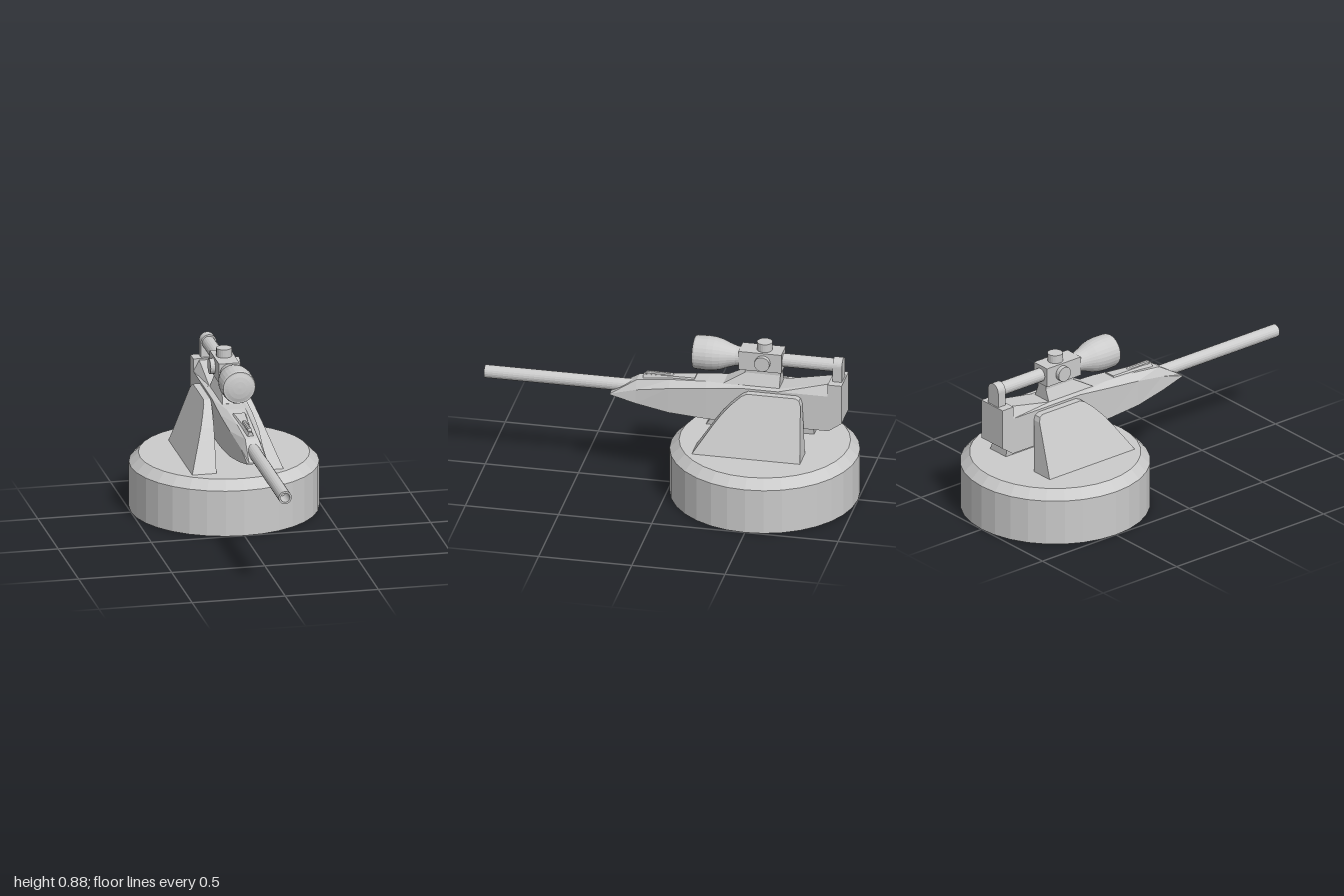
import * as THREE from 'three';

const material = new THREE.MeshStandardMaterial({ color: 0xcccccc, flatShading: true });

function add(parent, name, geometry, x = 0, y = 0, z = 0) {
  const mesh = new THREE.Mesh(geometry, material);
  mesh.name = name;
  mesh.position.set(x, y, z);
  parent.add(mesh);
  return mesh;
}

// Turned part: points are [radius, height], listed from bottom to top
function turned(points, sides) {
  return new THREE.LatheGeometry(points.map(p => new THREE.Vector2(...p)), sides);
}

// Turned part lying along z: points are [radius, z], listed from back to front
const turnedAlongZ = (points, sides) => turned(points, sides).rotateX(Math.PI / 2);

// Symmetric loft, sections front to back: [z, [halfWidth, y], ...] from bottom to top
function loft(sections) {
  const rings = sections.map(([z, ...levels]) => [
    ...levels.map(([w, y]) => [w, y, z]),
    ...levels.map(([w, y]) => [-w, y, z]).reverse(),
  ]);
  const positions = [];
  const tri = (a, b, c) => positions.push(...a, ...b, ...c);
  const n = rings[0].length;
  for (let s = 0; s < rings.length - 1; s++) {
    const a = rings[s], b = rings[s + 1];
    for (let i = 0; i < n; i++) {
      const j = (i + 1) % n;
      tri(a[i], b[i], b[j]);
      tri(a[i], b[j], a[j]);
    }
  }
  const front = rings[0], back = rings[rings.length - 1];
  for (let i = 1; i < n - 1; i++) {
    tri(front[0], front[i], front[i + 1]);
    tri(back[0], back[i + 1], back[i]);
  }
  const geometry = new THREE.BufferGeometry();
  geometry.setAttribute('position', new THREE.Float32BufferAttribute(positions, 3));
  geometry.computeVertexNormals();
  return geometry;
}

// Side bracket: extruded side outline whose faces lean inward with height
function bracket(side) {
  const outline = [
    [-0.16, 0.30], [-0.26, 0.45], [-0.30, 0.505], [-0.35, 0.56], [-0.40, 0.605], [-0.43, 0.62],
    [-0.69, 0.62], [-0.71, 0.61], [-0.72, 0.585], [-0.74, 0.30],
  ];
  const shape = new THREE.Shape(outline.map(([z, y]) => new THREE.Vector2(-z, y)));
  const geometry = new THREE.ExtrudeGeometry(shape, { depth: 1, bevelEnabled: false });
  const p = geometry.attributes.position;
  for (let i = 0; i < p.count; i++) {
    const y = p.getY(i), k = (y - 0.3) / 0.32;
    const inner = THREE.MathUtils.lerp(0.115, 0.088, k);
    const outer = THREE.MathUtils.lerp(0.245, 0.125, k);
    const t = side > 0 ? p.getZ(i) : 1 - p.getZ(i);
    p.setXYZ(i, side * THREE.MathUtils.lerp(inner, outer, t), y, -p.getX(i));
  }
  geometry.computeVertexNormals();
  return geometry;
}

export function createModel() {
  const model = new THREE.Group();
  model.name = 'mountedGun';

  // Round base with a chamfered rim
  add(model, 'base', turned([[0, 0], [0.5, 0], [0.5, 0.25], [0.45, 0.3], [0, 0.3]], 32), 0, 0, -0.5);

  // Brackets carrying the gun
  add(model, 'leftBracket', bracket(1));
  add(model, 'rightBracket', bracket(-1));

  const gun = new THREE.Group();
  gun.name = 'gun';
  model.add(gun);

  // Body, tapering to a sloped nose
  add(gun, 'body', loft([
    [0.32, [0.055, 0.505], [0.055, 0.51], [0.045, 0.513]],
    [0.18, [0.064, 0.472], [0.06, 0.55], [0.035, 0.598]],
    [0.0, [0.08, 0.445], [0.078, 0.585], [0.04, 0.62]],
    [-0.2, [0.087, 0.434], [0.087, 0.61], [0.05, 0.635]],
    [-0.4, [0.087, 0.43], [0.087, 0.632], [0.06, 0.637]],
    [-0.86, [0.087, 0.43], [0.087, 0.632], [0.06, 0.637]],
  ]));
  // Cheek ramp rising to the rear block
  add(gun, 'cheekRamp', loft([
    [-0.59, [0.087, 0.632], [0.06, 0.638]],
    [-0.86, [0.087, 0.632], [0.055, 0.692]],
  ]));
  add(gun, 'rearBlock', loft([
    [-0.855, [0.087, 0.43], [0.087, 0.7]],
    [-0.86, [0.087, 0.43], [0.087, 0.7]],
    [-0.93, [0.087, 0.48], [0.087, 0.7]],
  ]));

  // Hollow barrel
  add(gun, 'barrel', turnedAlongZ(
    [[0, 0.15], [0.035, 0.15], [0.035, 1], [0.025, 1], [0.025, 0.9], [0, 0.9]], 20), 0, 0.545, 0);

  // Front sight: wedge with a round bar on top
  add(gun, 'sightWedge', loft([
    [0.15, [0.018, 0.598], [0.008, 0.622]],
    [-0.13, [0.042, 0.62], [0.03, 0.637]],
  ]));
  add(gun, 'sightBar', turnedAlongZ([[0, -0.02], [0.013, 0], [0.013, 0.13], [0, 0.145]], 10), 0, 0.627, 0);

  const scope = new THREE.Group();
  scope.name = 'scope';
  scope.position.y = 0.778;
  gun.add(scope);

  // Foot that joins the scope to the body
  add(gun, 'scopeFoot', loft([
    [-0.29, [0.06, 0.63], [0.055, 0.637]],
    [-0.4, [0.06, 0.63], [0.032, 0.7]],
    [-0.59, [0.06, 0.63], [0.032, 0.7]],
  ]));
  add(gun, 'scopeFootTop', new THREE.BoxGeometry(0.064, 0.04, 0.19), 0, 0.715, -0.495);

  // Scope housing with three adjustment knobs
  add(scope, 'housing', new THREE.BoxGeometry(0.11, 0.106, 0.23), 0, 0, -0.485);
  const knob = new THREE.CylinderGeometry(0.041, 0.041, 0.05, 20);
  add(scope, 'topKnob', knob, 0, 0.073, -0.5);
  for (const side of [1, -1]) {
    add(scope, side > 0 ? 'leftKnob' : 'rightKnob', knob, side * 0.055, 0, -0.5).rotation.z = Math.PI / 2;
  }

  // Objective bell, its rim and a slightly domed lens
  add(scope, 'bell', turnedAlongZ([
    [0, -0.38], [0.05, -0.38], [0.052, -0.35], [0.065, -0.31], [0.081, -0.27], [0.089, -0.235],
    [0.092, -0.2], [0.09, -0.135], [0.086, -0.125], [0.079, -0.125],
    [0.06, -0.119], [0.035, -0.115], [0, -0.113],
  ], 28));

  // Rear tube and arched eyepiece
  add(scope, 'rearTube', turnedAlongZ([[0, -0.9], [0.036, -0.9], [0.036, -0.59], [0, -0.59]], 20));
  const arch = new THREE.Shape();
  arch.moveTo(-0.042, -0.08);
  arch.lineTo(0.042, -0.08);
  arch.lineTo(0.042, 0.003);
  arch.absarc(0, 0.003, 0.042, 0, Math.PI, false);
  arch.closePath();
  add(scope, 'eyepiece',
    new THREE.ExtrudeGeometry(arch, { depth: 0.05, bevelEnabled: false, curveSegments: 8 }), 0, 0, -0.922);

  return model;
}
